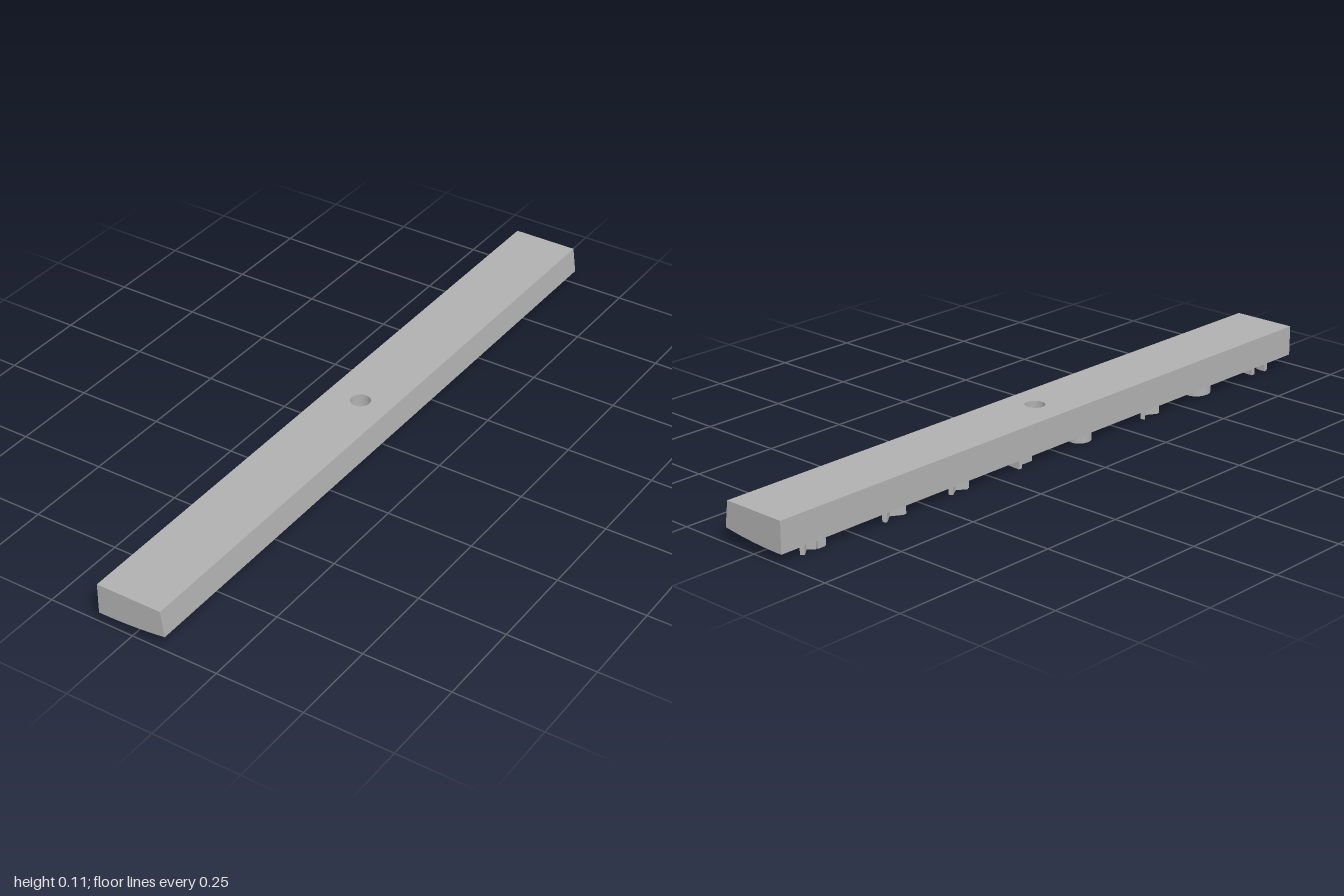
import * as THREE from 'three';

// Height of the gently curved underside at a given x
const under = (x) => 0.031 + 0.0715 * x + 0.385 * x * x;
const TOP = 0.115;

// Extrude a plan outline (x, z) one unit down, then set heights by a rule
function fromPlan(shape, place) {
  const geo = new THREE.ExtrudeGeometry(shape, { depth: 1, bevelEnabled: false, curveSegments: 20 });
  geo.rotateX(Math.PI / 2);
  const p = geo.attributes.position;
  for (let i = 0; i < p.count; i++) {
    const [x, y] = place(p.getX(i), p.getY(i) > -0.5);
    p.setX(i, x);
    p.setY(i, y);
  }
  geo.computeVertexNormals();
  return geo;
}

// Raised ridges hang below the underside and follow its curve
const ridgePlace = (x, isTop) => [x, under(x) + (isTop ? 0.004 : -0.0275)];

function wallShape([x1, z1], [x2, z2], t = 0.012) {
  const d = new THREE.Vector2(x2 - x1, z2 - z1).normalize().multiplyScalar(t / 2);
  return new THREE.Shape([
    new THREE.Vector2(x1 - d.y, z1 + d.x), new THREE.Vector2(x1 + d.y, z1 - d.x),
    new THREE.Vector2(x2 + d.y, z2 - d.x), new THREE.Vector2(x2 - d.y, z2 + d.x),
  ]);
}

function ringShape(x, z, rx, rz, t = 0.012) {
  const s = new THREE.Shape();
  s.absellipse(x, z, rx, rz, 0, Math.PI * 2, false);
  const hole = new THREE.Path();
  hole.absellipse(x, z, rx - t, rz - t, 0, Math.PI * 2, true);
  s.holes.push(hole);
  return s;
}

export function createModel() {
  const group = new THREE.Group();
  const grey = new THREE.MeshStandardMaterial({ color: 0xb0b0b0 });
  grey.name = 'plain grey';
  const add = (geo, name) => {
    const mesh = new THREE.Mesh(geo, grey);
    mesh.name = name;
    group.add(mesh);
    return mesh;
  };

  // Long bar halves: side profile run along z
  const half = 0.04;
  const profile = new THREE.Shape();
  profile.moveTo(-0.1, TOP);
  for (let i = 0; i <= 12; i++) {
    const x = -0.1 + i / 60;
    profile.lineTo(x, under(x));
  }
  profile.lineTo(0.09, TOP);
  for (const z of [-1, half]) {
    const geo = new THREE.ExtrudeGeometry(profile, { depth: 1 - half, bevelEnabled: false });
    geo.translate(0, 0, z);
    add(geo, z < 0 ? 'backBar' : 'frontBar');
  }

  // Short middle block with the through hole
  const plan = new THREE.Shape();
  plan.moveTo(-0.1, -half);
  for (let i = 1; i <= 12; i++) plan.lineTo(-0.1 + i / 60, -half);
  for (let i = 12; i >= 0; i--) plan.lineTo(-0.1 + i / 60, half);
  const hole = new THREE.Path();
  hole.absarc(0, 0, 0.028, 0, Math.PI * 2, true);
  plan.holes.push(hole);
  add(fromPlan(plan, (x, isTop) => (isTop ? [x > 0.099 ? 0.09 : x, TOP] : [x, under(x)])), 'middleBlock');

  // Ridge paths on the underside, as x, z points
  const paths = [
    [[-0.09, 0.9], [-0.062, 0.9]],
    [[-0.085, 0.847], [-0.05, 0.847]],
    [[-0.03, 0.445], [0.005, 0.295]],
    [[-0.055, 0.43], [-0.085, 0.41], [-0.065, 0.375], [-0.088, 0.345]],
    [[-0.02, 0.155], [-0.012, 0.045]],
    [[0.038, -0.158], [-0.093, -0.158]],
    [[-0.005, -0.15], [-0.005, -0.095], [-0.03, -0.095]],
    [[-0.04, -0.15], [-0.04, -0.095], [-0.07, -0.095], [-0.07, -0.15]],
    [[-0.04, -0.345], [-0.012, -0.41]],
    [[-0.06, -0.345], [-0.085, -0.35], [-0.065, -0.38], [-0.085, -0.41]],
    [[-0.035, -0.55], [0, -0.665]],
    [[-0.055, -0.56], [-0.087, -0.58], [-0.065, -0.615], [-0.09, -0.65]],
    [[-0.02, -0.845], [-0.02, -0.955]],
    [[-0.045, -0.845], [-0.085, -0.85], [-0.085, -0.875], [-0.065, -0.895], [-0.09, -0.925]],
  ];
  for (const path of paths) {
    const shapes = path.slice(1).map((b, i) => wallShape(path[i], b));
    add(fromPlan(shapes, ridgePlace), 'undersideRidge');
  }

  // Raised rings on the underside
  add(fromPlan(ringShape(-0.056, 0.622, 0.037, 0.042), ridgePlace), 'largeRing');
  add(fromPlan(ringShape(-0.064, 0.11, 0.03, 0.034), ridgePlace), 'smallRing');
  return group;
}
